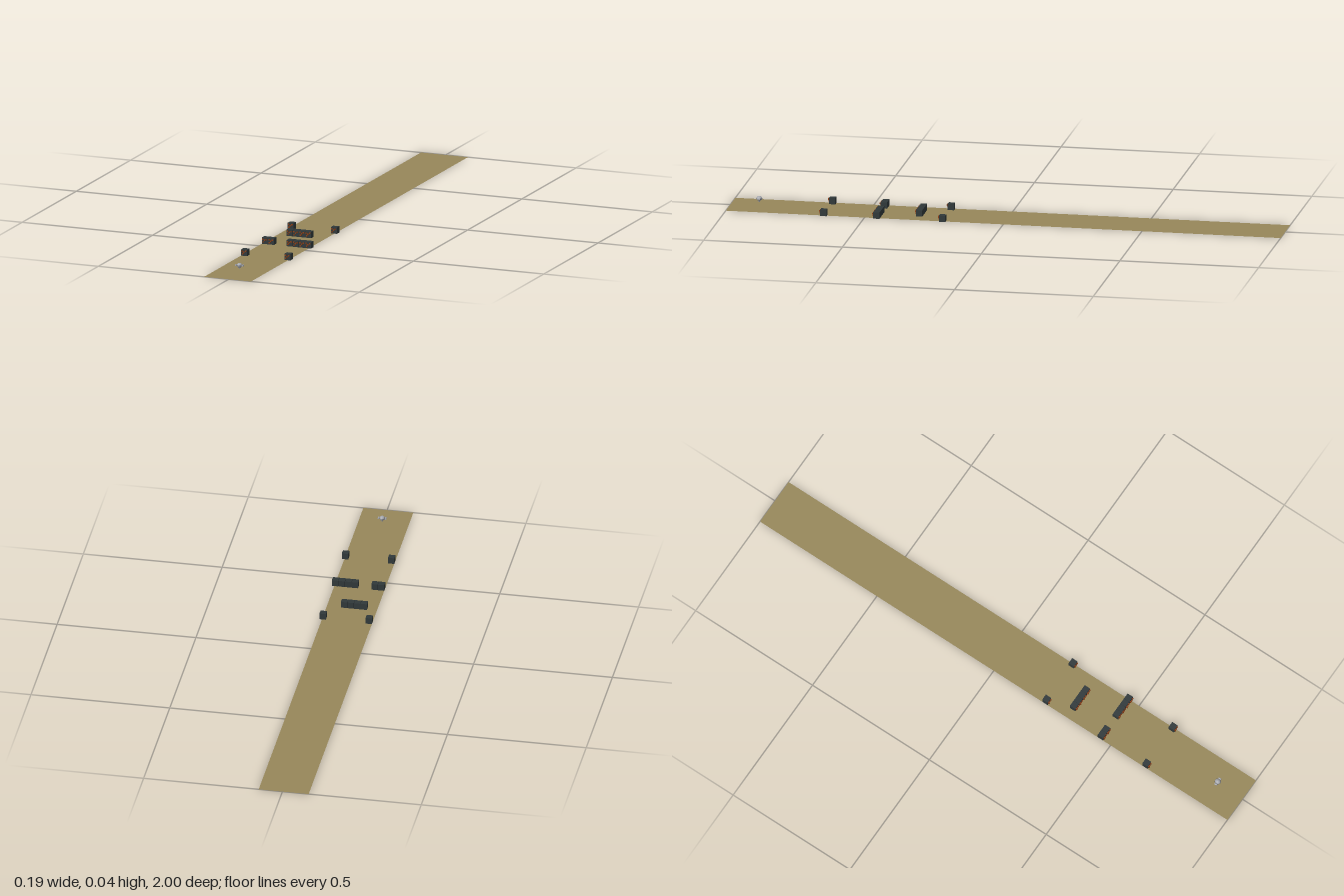
import * as THREE from 'three';

const mat = (name, color, extra = {}) => {
  const m = new THREE.MeshStandardMaterial({ color, ...extra });
  m.name = name;
  return m;
};

export function createModel() {
  const sand = mat('sand', 0x96875a, { side: THREE.DoubleSide });
  const slate = mat('slate', 0x30383a);
  const rust = mat('rust', 0x8a3d14);
  const steel = mat('steel', 0xa4a6ac);
  const darkSteel = mat('dark steel', 0x62656b);

  const model = new THREE.Group();
  model.name = 'track';
  const add = (parent, name, geo, material, x, y, z) => {
    const mesh = new THREE.Mesh(geo, material);
    mesh.name = name;
    mesh.position.set(x, y, z);
    parent.add(mesh);
    return mesh;
  };

  // Flat ground strip
  const floor = add(model, 'ground', new THREE.PlaneGeometry(0.18, 2), sand, -0.0045, 0, 0);
  floor.rotation.x = -Math.PI / 2;

  // Obstacle cubes: dark body with rusty lugs on the front
  const pitch = 0.0237, size = 0.0228;
  const cube = new THREE.BoxGeometry(size, size, size);
  const lug = new THREE.BoxGeometry(0.0045, 0.0045, 0.004);
  const lugs = [[-0.0065, 0.006], [0.0065, 0.006], [0, 0.002], [-0.005, -0.004]];
  const addBlock = (x, z) => {
    const block = new THREE.Group();
    block.name = 'block';
    block.position.set(x, size / 2, z);
    add(block, 'blockBody', cube, slate, 0, 0, 0);
    for (const [lx, ly] of lugs) add(block, 'frontLug', lug, rust, lx, ly, size / 2 + 0.002);
    model.add(block);
  };

  // Rows of cubes, placed by slot across the strip
  const rows = [
    [0.219, [0, 7]],
    [0.313, [1.5, 2.5, 3.5, 4.5]],
    [0.456, [0, 1, 4, 5, 6, 7]],
    [0.647, [0, 7]],
  ];
  for (const [z, slots] of rows)
    for (const s of slots) addBlock((s - 3.5) * pitch, z);

  // Small hovering craft
  const craft = new THREE.Group();
  craft.name = 'craft';
  craft.position.set(-0.002, 0.0275, 0.896);
  model.add(craft);
  const hull = add(craft, 'hull', new THREE.SphereGeometry(0.0095, 20, 14), steel, 0, 0, 0);
  hull.scale.set(1, 0.9, 1.15);
  const rim = add(craft, 'rim', new THREE.TorusGeometry(0.0098, 0.0012, 8, 24), darkSteel, 0, 0, 0);
  rim.rotation.x = Math.PI / 2;
  for (const side of [-1, 1]) {
    const pod = add(craft, 'sidePod', new THREE.CylinderGeometry(0.003, 0.003, 0.01, 12), steel, side * 0.0128, 0, 0);
    pod.rotation.x = Math.PI / 2;
  }
  add(craft, 'belly', new THREE.CylinderGeometry(0.004, 0.002, 0.006, 12), steel, 0, -0.0095, 0);

  return model;
}
